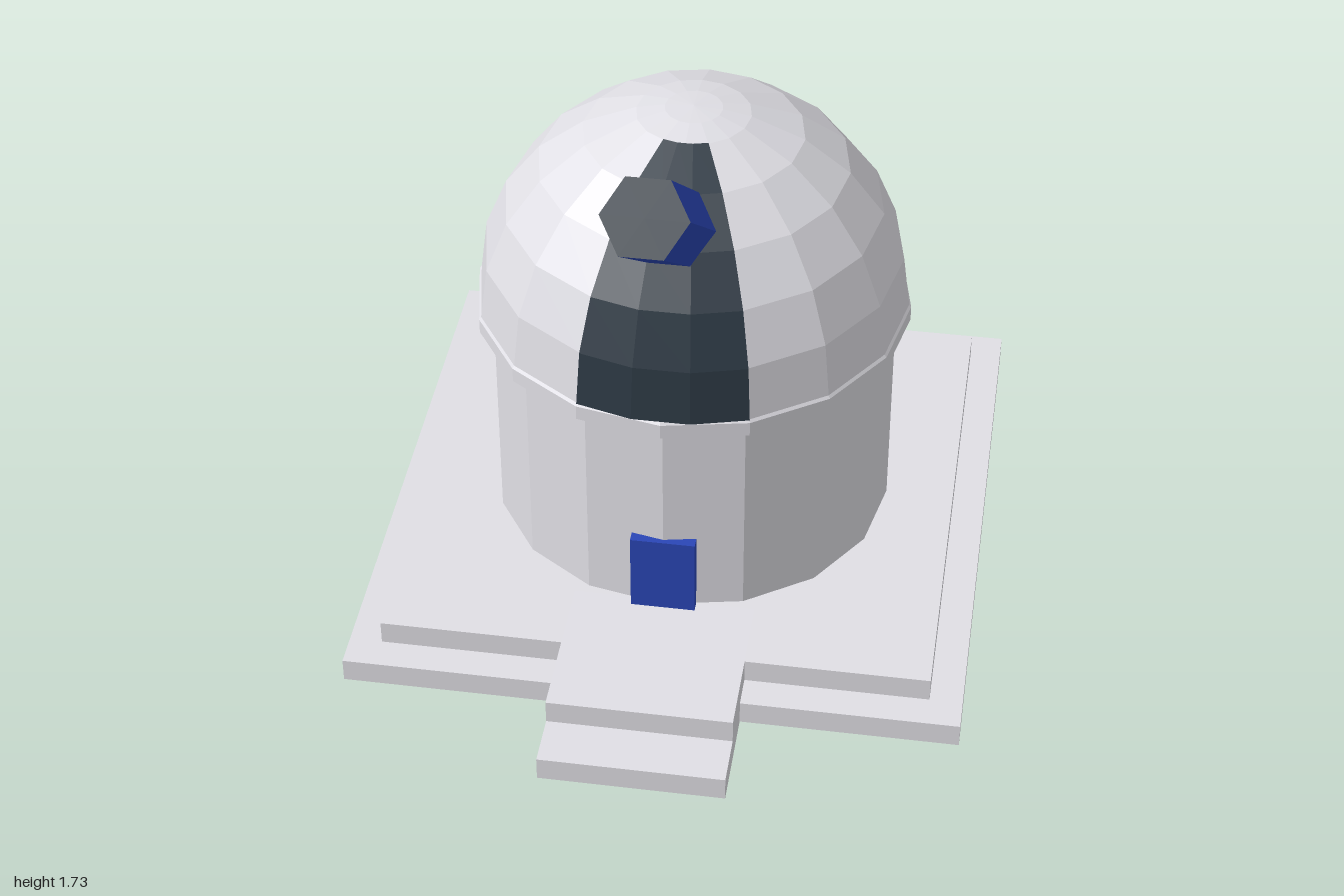
import * as THREE from 'three';

const SIDES = 16;
const CZ = -0.144; // z of the building's axis

export function createModel() {
  const model = new THREE.Group();
  model.name = 'observatory';

  const material = (name, color) => {
    const m = new THREE.MeshStandardMaterial({ color, flatShading: true, side: THREE.DoubleSide });
    m.name = name;
    return m;
  };
  const stone = material('pale grey', 0xe0dfe5);
  const steel = material('blue grey', 0x8f9eae);
  const slate = material('dark slate', 0x2c3843);
  const blue = material('blue', 0x2a46b6);

  const add = (name, geometry, mat, x = 0, y = 0, z = 0, parent = model) => {
    const mesh = new THREE.Mesh(geometry, mat);
    mesh.name = name;
    mesh.position.set(x, y, z);
    parent.add(mesh);
    return mesh;
  };
  // box given by its half width, y range and z range
  const block = (name, mat, hx, y0, y1, z0, z1) =>
    add(name, new THREE.BoxGeometry(hx * 2, y1 - y0, z1 - z0), mat, 0, (y0 + y1) / 2, (z0 + z1) / 2);
  // hollow slab: a box without its bottom face
  const slab = (name, back, ...size) => {
    const mesh = block(name, [stone, stone, stone, stone, stone, back], ...size);
    mesh.geometry.groups.splice(3, 1);
  };
  // round tier around the building's axis
  const tier = (name, mat, r0, r1, y0, y1, open = false) =>
    add(name, new THREE.CylinderGeometry(r1, r0, y1 - y0, SIDES, 1, open), mat, 0, (y0 + y1) / 2, CZ);

  // Stepped base with entrance steps, hollow underneath
  slab('lowerBase', stone, 0.856, 0, 0.07, -1, 0.712);
  slab('upperBase', stone, 0.765, 0.07, 0.14, -0.909, 0.621);
  slab('upperStep', steel, 0.255, 0, 0.14, 0.41, 0.856);
  slab('lowerStep', stone, 0.255, 0, 0.07, 0.856, 1);

  // Drum wall and door
  tier('wall', stone, 0.571, 0.571, 0.14, 0.79);
  block('door', blue, 0.09, 0.14, 0.38, 0.395, 0.441);

  // Ring below the dome, with a darker underside
  tier('ringUnderside', steel, 0.571, 0.612, 0.766, 0.779, true);
  tier('ring', stone, 0.612, 0.612, 0.779, 0.822);
  tier('ringTop', stone, 0.612, 0.606, 0.822, 0.83);

  // Dome: shell, cap above the slit, and the dark slit facing the front
  const dome = new THREE.Group();
  dome.name = 'dome';
  dome.position.set(0, 0.83, CZ);
  model.add(dome);
  const slit = Math.PI / 4;
  const slitStart = Math.PI / 2 - slit / 2;
  const stack = Math.PI / 12;
  const domePart = (name, mat, r, phi, dPhi, cols, firstRow, rows) =>
    add(name, new THREE.SphereGeometry(r, cols, rows, phi, dPhi, firstRow * stack, rows * stack), mat, 0, 0, 0, dome);
  domePart('domeShell', stone, 0.606, slitStart + slit, Math.PI * 2 - slit, SIDES - 2, 1, 5);
  domePart('domeCap', stone, 0.606, 0, Math.PI * 2, SIDES, 0, 1);
  domePart('domeSlit', slate, 0.61, slitStart, slit, 2, 1, 5);

  // Six-sided telescope, tilted up to the front, dark at its open end
  const length = 0.66;
  const tilt = THREE.MathUtils.degToRad(52);
  const tube = new THREE.CylinderGeometry(0.113, 0.113, length, 6);
  tube.rotateY(Math.PI / 2);
  tube.translate(0, -length / 2, 0);
  tube.rotateX(tilt);
  add('telescope', tube, [blue, slate, blue], 0, 1.652, 0.68);

  return model;
}
